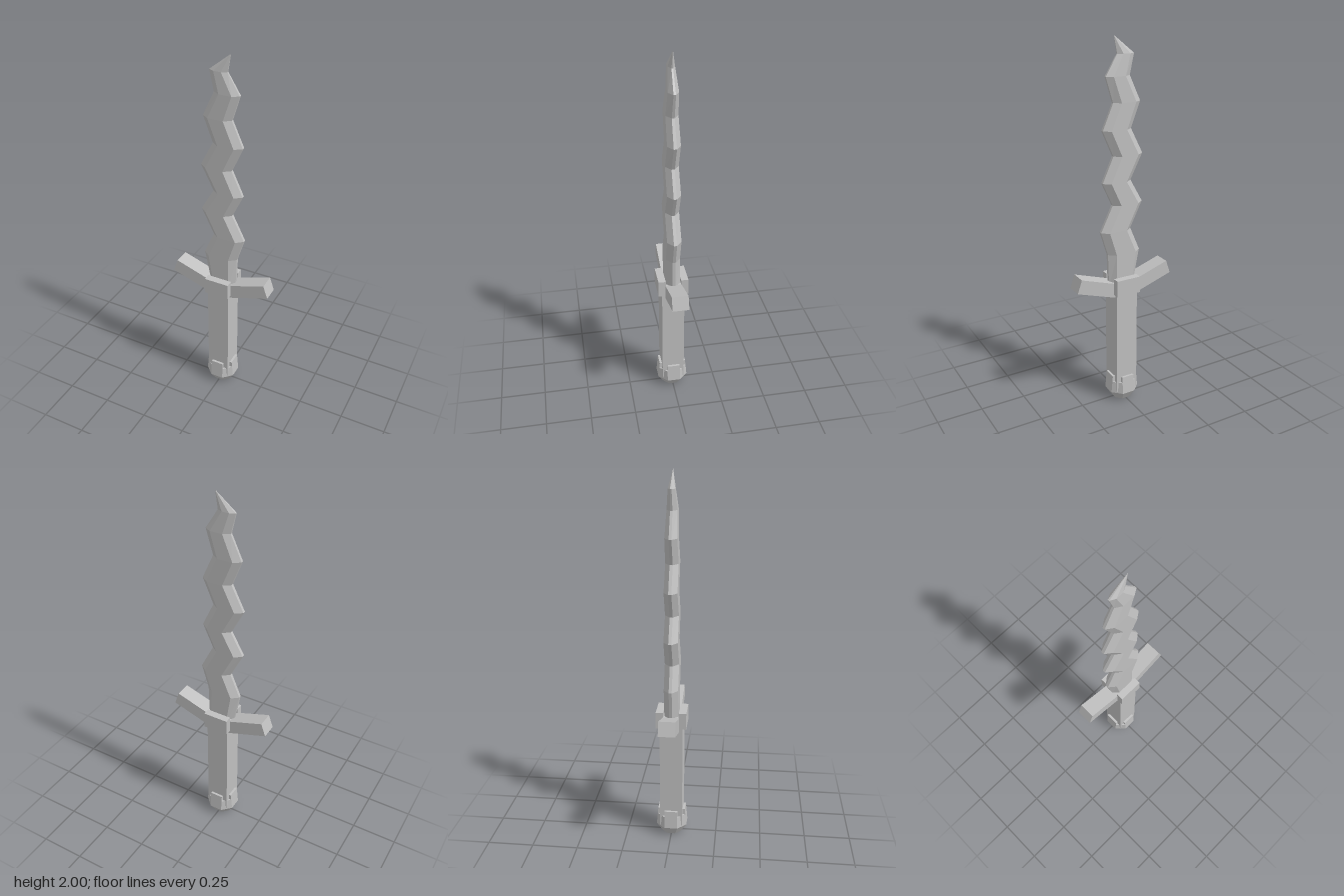
import * as THREE from 'three';

// Joins equal-length rings (ordered +x toward -z) into a closed solid
function loft(rings) {
  const pos = [];
  const n = rings[0].length;
  const tri = (a, b, c) => pos.push(...a, ...b, ...c);
  for (let r = 0; r < rings.length - 1; r++) {
    const a = rings[r], b = rings[r + 1];
    for (let i = 0; i < n; i++) {
      const j = (i + 1) % n;
      tri(a[i], a[j], b[j]);
      tri(a[i], b[j], b[i]);
    }
  }
  const first = rings[0], last = rings[rings.length - 1];
  for (let i = 1; i < n - 1; i++) {
    tri(first[0], first[i + 1], first[i]);
    tri(last[0], last[i], last[i + 1]);
  }
  const geo = new THREE.BufferGeometry();
  geo.setAttribute('position', new THREE.Float32BufferAttribute(pos, 3));
  geo.computeVertexNormals();
  return geo;
}

// Eight-sided outline: blunt edges (e), flat faces (t), bevel width (b)
const octagon = (xl, xr, y, t, e, b) => [
  [xr, y, e], [xr, y, -e], [xr - b, y, -t], [xl + b, y, -t],
  [xl, y, -e], [xl, y, e], [xl + b, y, t], [xr - b, y, t],
];

export function createModel() {
  const group = new THREE.Group();
  const steel = new THREE.MeshStandardMaterial({ color: 0xbfbfbf, flatShading: true });
  steel.name = 'grey steel';
  const add = (name, geo, parent = group) => {
    const mesh = new THREE.Mesh(geo, steel);
    mesh.name = name;
    parent.add(mesh);
    return mesh;
  };

  // Wavy blade: left x, right x, height, half thickness, half edge, bevel
  const sections = [
    [-0.07, 0.08, 0.7, 0.038, 0.008, 0.03],
    [-0.105, 0.085, 0.88, 0.038, 0.008, 0.037],
    [-0.05, 0.125, 1.01, 0.038, 0.008, 0.037],
    [-0.12, 0.055, 1.15, 0.037, 0.008, 0.037],
    [-0.05, 0.113, 1.275, 0.036, 0.008, 0.037],
    [-0.12, 0.05, 1.41, 0.035, 0.008, 0.037],
    [-0.052, 0.11, 1.545, 0.034, 0.008, 0.037],
    [-0.105, 0.05, 1.68, 0.032, 0.007, 0.036],
    [-0.045, 0.09, 1.81, 0.027, 0.006, 0.034],
    [-0.07, 0.025, 1.915, 0.018, 0.004, 0.028],
    [0.036, 0.04, 2, 0.001, 0.0005, 0.001],
  ];
  add('blade', loft(sections.map((s) => octagon(...s))));

  // Crossguard with upswept arms
  const guard = new THREE.Shape([
    [-0.285, 0.715], [-0.065, 0.642], [0.065, 0.642], [0.285, 0.715],
    [0.26, 0.788], [0.065, 0.723], [-0.065, 0.723], [-0.26, 0.788],
  ].map(([x, y]) => new THREE.Vector2(x, y)));
  add('crossguard', new THREE.ExtrudeGeometry(guard, { depth: 0.088, bevelEnabled: false })
    .translate(0, 0, -0.044));

  // Plates clasping the guard front and back
  for (const s of [1, -1]) {
    add(s > 0 ? 'frontPlate' : 'backPlate', new THREE.BoxGeometry(0.138, 0.092, 0.04))
      .position.set(0, 0.705, s * 0.062);
  }

  // Square grip
  add('grip', new THREE.BoxGeometry(0.124, 0.61, 0.124)).position.y = 0.365;

  // Eight-sided pommel with four tabs reaching up the grip
  const pommel = new THREE.Group();
  pommel.name = 'pommel';
  group.add(pommel);
  const ring = (y, a, h) => octagon(-a, a, y, a, h, a - h);
  add('pommelBody', loft([
    ring(0, 0.052, 0.022), ring(0.052, 0.084, 0.036), ring(0.118, 0.078, 0.036),
  ]), pommel);
  const tabRing = (y, z) => [[0.036, y, z], [0.036, y, 0.055], [-0.036, y, 0.055], [-0.036, y, z]];
  for (let i = 0; i < 4; i++) {
    add('pommelTab', loft([tabRing(0.11, 0.0787), tabRing(0.152, 0.075)]), pommel)
      .rotation.y = i * Math.PI / 2;
  }

  return group;
}
